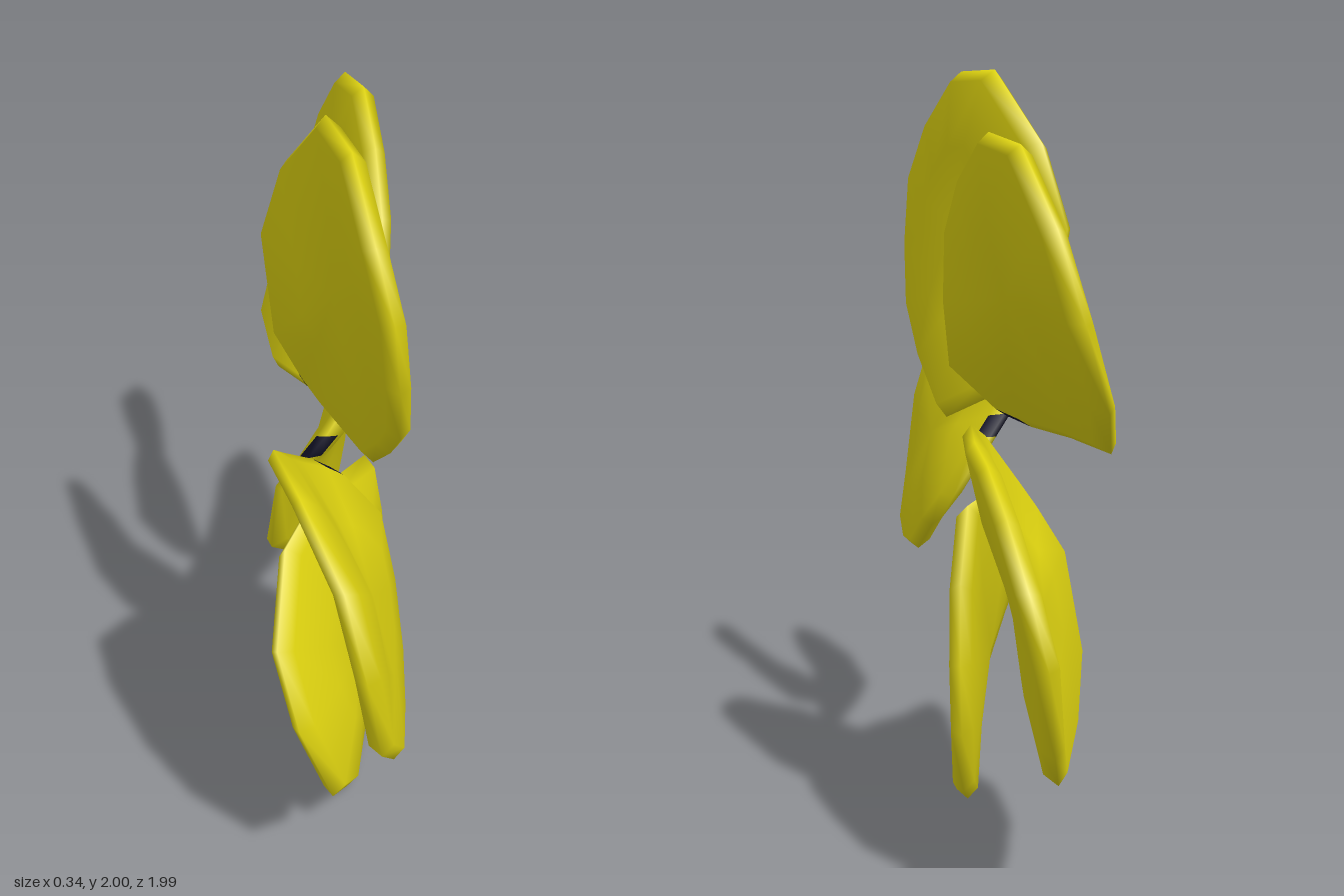
import * as THREE from 'three';

const petalYellow = new THREE.MeshStandardMaterial({ color: 0xddd210 });
const baseDark = new THREE.MeshStandardMaterial({ color: 0x14142a });

// Rim of one petal as [x, y, z] around the flower centre, clockwise from +x
const rim = [
  [0.04, 0.98, 0.33], [-0.01, 0.98, 0.11], [-0.1, 0.79, -0.06], [-0.155, 0.57, -0.12],
  [-0.125, 0.3, -0.04], [-0.05, 0.18, 0.01], [0.0, 0.12, 0.05], [0.11, 0.04, 0.19],
  [0.14, 0.17, 0.35], [0.15, 0.31, 0.51], [0.14, 0.49, 0.6], [0.12, 0.69, 0.64], [0.08, 0.85, 0.56],
];
const heart = [0.04, 0.57, 0.26];
const darkEdge = 5; // short rim edge beside the petal base

// Layers from front centre over the rim to back centre: [scale, offset in x]
const layers = [
  [0, 0.042], [0.5, 0.038], [0.93, 0.03], [1, 0], [0.93, -0.03], [0.5, -0.038], [0, -0.042],
];

function petalGeometry() {
  const n = rim.length, last = layers.length - 1;
  const pos = [], yellow = [], dark = [];
  layers.forEach(([s, off], k) => {
    const ring = k === 0 || k === last ? [rim[0]] : rim;
    for (const [x, y, z] of ring) {
      pos.push(
        x * s + heart[0] * (1 - s * s) + off, // domed towards +x
        heart[1] + (y - heart[1]) * s,
        heart[2] + (z - heart[2]) * s,
      );
    }
  });
  const id = (k, i) => (k === 0 ? 0 : 1 + (k - 1) * n + (k === last ? 0 : i % n));
  for (let k = 0; k < last; k++) {
    for (let i = 0; i < n; i++) {
      const a = id(k, i), b = id(k, i + 1), c = id(k + 1, i), d = id(k + 1, i + 1);
      const onRim = k === 2 || k === 3;
      const list = onRim && i === darkEdge ? dark : yellow;
      if (c !== d) list.push(a, d, c);
      if (a !== b) list.push(a, b, d);
    }
  }
  const geo = new THREE.BufferGeometry();
  geo.setAttribute('position', new THREE.Float32BufferAttribute(pos, 3));
  geo.setIndex([...yellow, ...dark]);
  geo.addGroup(0, yellow.length, 0);
  geo.addGroup(yellow.length, dark.length, 1);
  geo.computeVertexNormals();
  return geo;
}

export function createModel() {
  const flower = new THREE.Group();
  flower.name = 'flower';
  const geo = petalGeometry();
  // Five petals in a pinwheel around the x axis
  for (let i = 0; i < 5; i++) {
    const petal = new THREE.Mesh(geo, [petalYellow, baseDark]);
    petal.name = `petal${i + 1}`;
    petal.rotation.x = (-i * Math.PI * 2) / 5;
    petal.position.set(0, 1.02, -0.04);
    flower.add(petal);
  }
  return flower;
}
